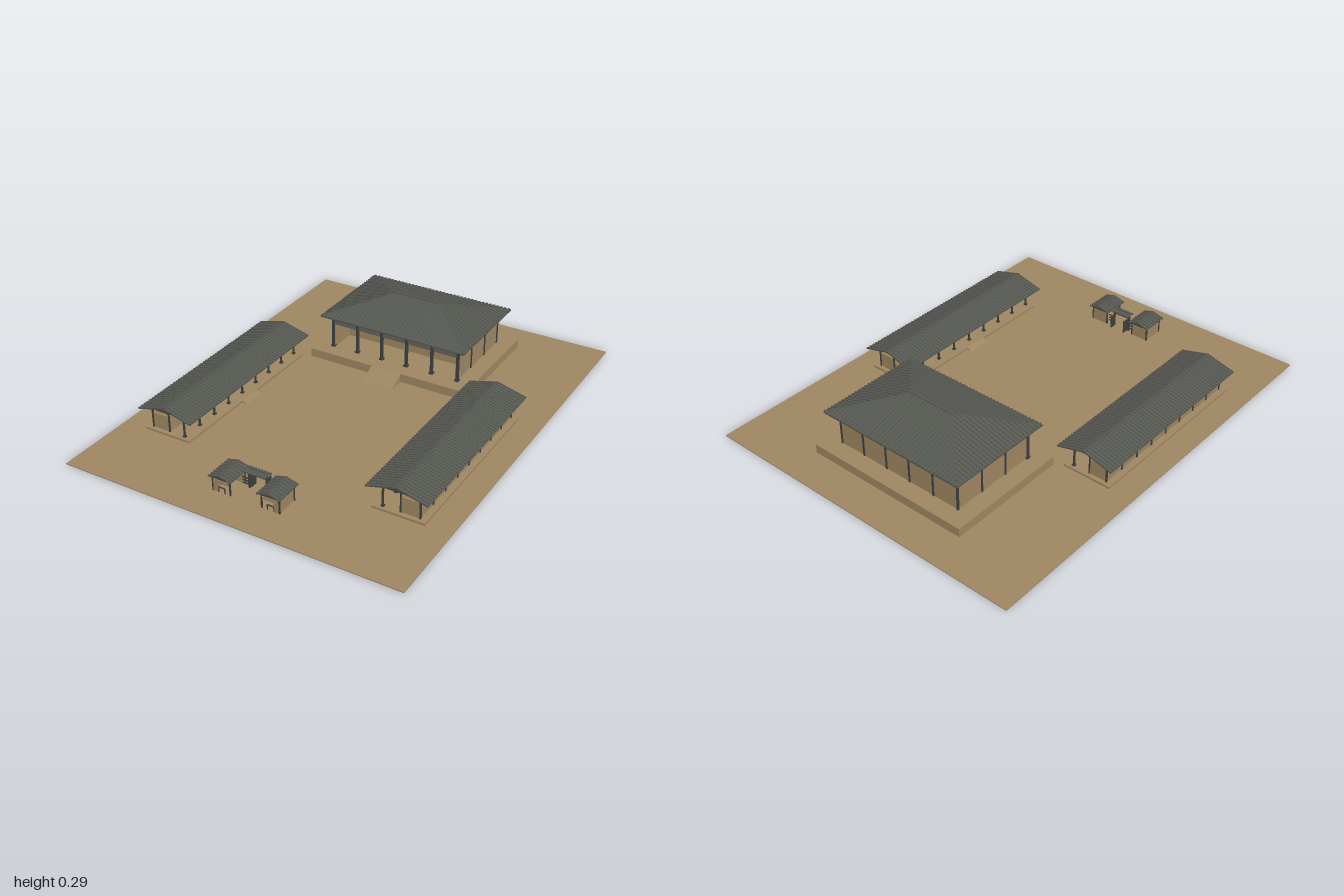
import * as THREE from 'three';
import { mergeGeometries } from 'three/addons/utils/BufferGeometryUtils.js';
import { ConvexGeometry } from 'three/addons/geometries/ConvexGeometry.js';

const V = (x, y, z) => new THREE.Vector3(x, y, z);

function mat(name, color) {
  const m = new THREE.MeshStandardMaterial({ color });
  m.name = name;
  return m;
}

// Box given by its limits on each axis
function block(x0, x1, y0, y1, z0, z1) {
  return new THREE.BoxGeometry(x1 - x0, y1 - y0, z1 - z0)
    .translate((x0 + x1) / 2, (y0 + y1) / 2, (z0 + z1) / 2);
}

// Square post standing at x, z
function post(x, z, y0, y1, w) {
  return block(x - w / 2, x + w / 2, y0, y1, z - w / 2, z + w / 2);
}

// Flat bar from a to b, its width along the horizontal axis side
function bar(a, b, side, width, thick) {
  const dir = b.clone().sub(a);
  const len = dir.length();
  dir.normalize();
  const up = side.clone().cross(dir);
  const m = new THREE.Matrix4().makeBasis(dir, up, side);
  m.setPosition(a.clone().add(b).multiplyScalar(0.5));
  return new THREE.BoxGeometry(len, thick, width).applyMatrix4(m);
}

// Wedge rising toward -z, of given width and depth, high end at z = 0
function wedge(width, height, depth) {
  const h = width / 2;
  return new ConvexGeometry([V(-h, 0, 0), V(h, 0, 0), V(-h, height, 0), V(h, height, 0), V(-h, 0, depth), V(h, 0, depth)]);
}

// Ribbed gable roof with its ridge along z
function gableRoof(xc, half, yEave, yRidge, z0, z1, step, rib) {
  const parts = [];
  const zc = (z0 + z1) / 2;
  const n = Math.round((z1 - z0) / step);
  for (const s of [-1, 1]) {
    parts.push(bar(V(xc + s * half, yEave, zc), V(xc, yRidge, zc), V(0, 0, 1), z1 - z0, 0.004));
    for (let i = 0; i <= n; i++) {
      const z = z0 + rib / 2 + (z1 - z0 - rib) * i / n;
      parts.push(bar(V(xc + s * half, yEave + 0.003, z), V(xc, yRidge + 0.003, z), V(0, 0, 1), rib, 0.004));
    }
  }
  parts.push(block(xc - 0.004, xc + 0.004, yRidge, yRidge + 0.006, z0, z1));
  return parts;
}

export function createModel() {
  const model = new THREE.Group();
  model.name = 'courtyardCompound';
  const earth = mat('earth', 0x9e8661);
  const tile = mat('roofTile', 0x565852);
  const timber = mat('darkTimber', 0x3b403e);
  const panel = mat('greyPanel', 0x63625b);

  function add(group, name, parts, material) {
    const geo = mergeGeometries(parts.map(g => {
      const p = g.index ? g.toNonIndexed() : g;
      p.deleteAttribute('uv');
      return p;
    }));
    const mesh = new THREE.Mesh(geo, material);
    mesh.name = name;
    group.add(mesh);
  }
  function section(name) {
    const g = new THREE.Group();
    g.name = name;
    model.add(g);
    return g;
  }

  add(model, 'ground', [block(-0.78, 0.78, 0, 0.004, -1, 1)], earth);

  // Main hall: terrace, ramp and walls set back behind a veranda
  const hall = section('mainHall');
  const floor = 0.045, zf = -0.335, zb = -0.75, hx = 0.322;
  add(hall, 'terrace', [block(-0.4, 0.4, 0.004, floor, -0.83, -0.26)], earth);
  add(hall, 'entranceRamp', [wedge(0.152, 0.041, 0.075).translate(0, 0.004, -0.26)], earth);
  add(hall, 'hallWalls', [
    block(-hx, hx, floor, 0.16, zb, zb + 0.01),
    block(-hx, hx, floor, 0.16, -0.475, -0.465),
    block(-hx, -hx + 0.01, floor, 0.16, zb, zf),
    block(hx - 0.01, hx, floor, 0.16, zb, zf)], earth);
  add(hall, 'upperPanels', [
    block(-hx, hx, 0.16, 0.208, zb, zb + 0.01),
    block(-hx, hx, 0.16, 0.208, zf - 0.01, zf),
    block(-hx, -hx + 0.01, 0.16, 0.208, zb, zf),
    block(hx - 0.01, hx, 0.16, 0.208, zb, zf)], panel);
  const hallPosts = [];
  for (const x of [-0.322, -0.193, -0.064, 0.064, 0.193, 0.322]) {
    hallPosts.push(post(x, zf, floor, 0.208, 0.012), post(x, zf, floor, floor + 0.008, 0.02));
    hallPosts.push(post(x, zb, floor, 0.208, 0.008));
  }
  for (const x of [-hx, hx]) {
    for (const z of [-0.473, -0.612]) hallPosts.push(post(x, z, floor, 0.208, 0.008));
  }
  add(hall, 'hallPosts', hallPosts, timber);

  // Hipped roof with ribs running down each slope
  const rx = 0.367, rz = 0.252, zc = -0.545, ridge = 0.112, ye = 0.211, yr = 0.286;
  const hip = [V(-ridge, yr, zc), V(ridge, yr, zc)];
  for (const x of [-rx, rx]) {
    for (const z of [zc - rz, zc + rz]) hip.push(V(x, ye, z), V(x, ye - 0.006, z));
  }
  add(hall, 'hippedRoof', [new ConvexGeometry(hip)], tile);
  const ribs = [];
  for (const s of [-1, 1]) {
    for (let i = -19; i <= 19; i++) {
      const x = i * 0.0188;
      const t = Math.min(1, (rx - Math.abs(x)) / (rx - ridge));
      if (t > 0.02) ribs.push(bar(V(x, ye + 0.001, zc + s * rz),
        V(x, ye + 0.001 + t * (yr - ye), zc + s * rz * (1 - t)), V(1, 0, 0), 0.007, 0.005));
    }
    for (let i = -13; i <= 13; i++) {
      const z = i * 0.0188;
      const t = 1 - Math.abs(z) / rz;
      if (t > 0.02) ribs.push(bar(V(s * rx, ye + 0.001, zc + z),
        V(s * (rx - t * (rx - ridge)), ye + 0.001 + t * (yr - ye), zc + z), V(0, 0, 1), 0.007, 0.005));
    }
  }
  ribs.push(block(-ridge, ridge, yr - 0.002, yr + 0.005, zc - 0.005, zc + 0.005));
  add(hall, 'hallRoofRibs', ribs, tile);

  // Long side wings: open gallery toward the court, rooms on the outer half
  for (const s of [-1, 1]) {
    const wing = section(s > 0 ? 'leftWing' : 'rightWing');
    const bx = (xa, xb, ...r) => block(Math.min(s * xa, s * xb), Math.max(s * xa, s * xb), ...r);
    const z0 = -0.22, z1 = 0.61;
    add(wing, 'wingPlinth', [bx(0.437, 0.667, 0.004, 0.014, -0.24, 0.63)], earth);
    add(wing, 'wingRamp', [wedge(0.11, 0.01, 0.025).rotateY(-s * Math.PI / 2)
      .translate(s * 0.437, 0.004, 0.195)], earth);
    add(wing, 'wingWalls', [
      bx(0.63, 0.638, 0.014, 0.085, z0, z1),
      bx(0.552, 0.56, 0.014, 0.085, z0, z1),
      bx(0.555, 0.638, 0.014, 0.085, z0, z0 + 0.008),
      bx(0.555, 0.638, 0.014, 0.085, z1 - 0.008, z1)], earth);
    const frame = [];
    for (let i = 0; i < 9; i++) {
      const z = z0 + (z1 - z0) * i / 8;
      frame.push(post(s * 0.475, z, 0.014, 0.12, 0.007), post(s * 0.475, z, 0.014, 0.02, 0.014));
      frame.push(post(s * 0.553, z, 0.014, 0.142, 0.006), post(s * 0.638, z, 0.014, 0.116, 0.007));
      frame.push(bx(0.475, 0.638, 0.102, 0.108, z - 0.003, z + 0.003));
    }
    for (const x of [0.475, 0.638]) frame.push(bx(x - 0.003, x + 0.003, 0.108, 0.115, z0, z1));
    add(wing, 'wingFrame', frame, timber);
    add(wing, 'wingRoof', gableRoof(s * 0.55, 0.135, 0.107, 0.143, -0.26, 0.645, 0.0181, 0.007), tile);
  }

  // Gate lodges beside the entrance
  for (const s of [-1, 1]) {
    const lodge = section(s > 0 ? 'leftLodge' : 'rightLodge');
    const bx = (xa, xb, ...r) => block(Math.min(s * xa, s * xb), Math.max(s * xa, s * xb), ...r);
    add(lodge, 'lodgeWalls', [
      bx(0.15, 0.156, 0.004, 0.064, 0.74, 0.845),
      bx(0.075, 0.156, 0.004, 0.064, 0.74, 0.746),
      bx(0.075, 0.156, 0.046, 0.06, 0.839, 0.845),
      bx(0.13, 0.156, 0.004, 0.046, 0.839, 0.845)], earth);
    const frame = [];
    for (const z of [0.742, 0.843]) {
      for (const x of [0.074, 0.156]) frame.push(post(s * x, z, 0.004, 0.078, 0.006));
      frame.push(bx(0.074, 0.156, 0.064, 0.069, z - 0.003, z + 0.003));
      frame.push(post(s * 0.115, z, 0.066, 0.086, 0.004));
    }
    for (const x of [0.1, 0.13]) frame.push(post(s * x, 0.843, 0.004, 0.028, 0.004));
    frame.push(bx(0.1, 0.13, 0.025, 0.029, 0.841, 0.845));
    add(lodge, 'lodgeFrame', frame, timber);
    add(lodge, 'lodgeRoof', gableRoof(s * 0.114, 0.053, 0.073, 0.087, 0.725, 0.858, 0.019, 0.007), tile);
    // Low fence joining lodge and gate
    add(lodge, 'fence', [0.016, 0.03, 0.044].map(y => bx(0.045, 0.074, y, y + 0.005, 0.757, 0.761)), timber);
  }

  // Gate with an opened door leaf on each side and a small ridged roof
  const gate = section('gate');
  const gateParts = [];
  for (const x of [-0.042, 0.042]) gateParts.push(post(x, 0.758, 0.004, 0.09, 0.008));
  gateParts.push(block(-0.046, 0.046, 0.07, 0.076, 0.754, 0.762), block(-0.046, 0.046, 0.084, 0.088, 0.754, 0.762));
  add(gate, 'gateFrame', gateParts, timber);
  add(gate, 'doorLeaves', [-0.036, 0.036].map(x => block(x - 0.002, x + 0.002, 0.006, 0.068, 0.722, 0.756)), timber);
  const gateRoof = gableRoof(0, 0.022, 0.087, 0.097, -0.051, 0.051, 0.014, 0.006);
  add(gate, 'gateRoof', gateRoof.map(g => g.rotateY(Math.PI / 2).translate(0, 0, 0.758)), tile);

  return model;
}
